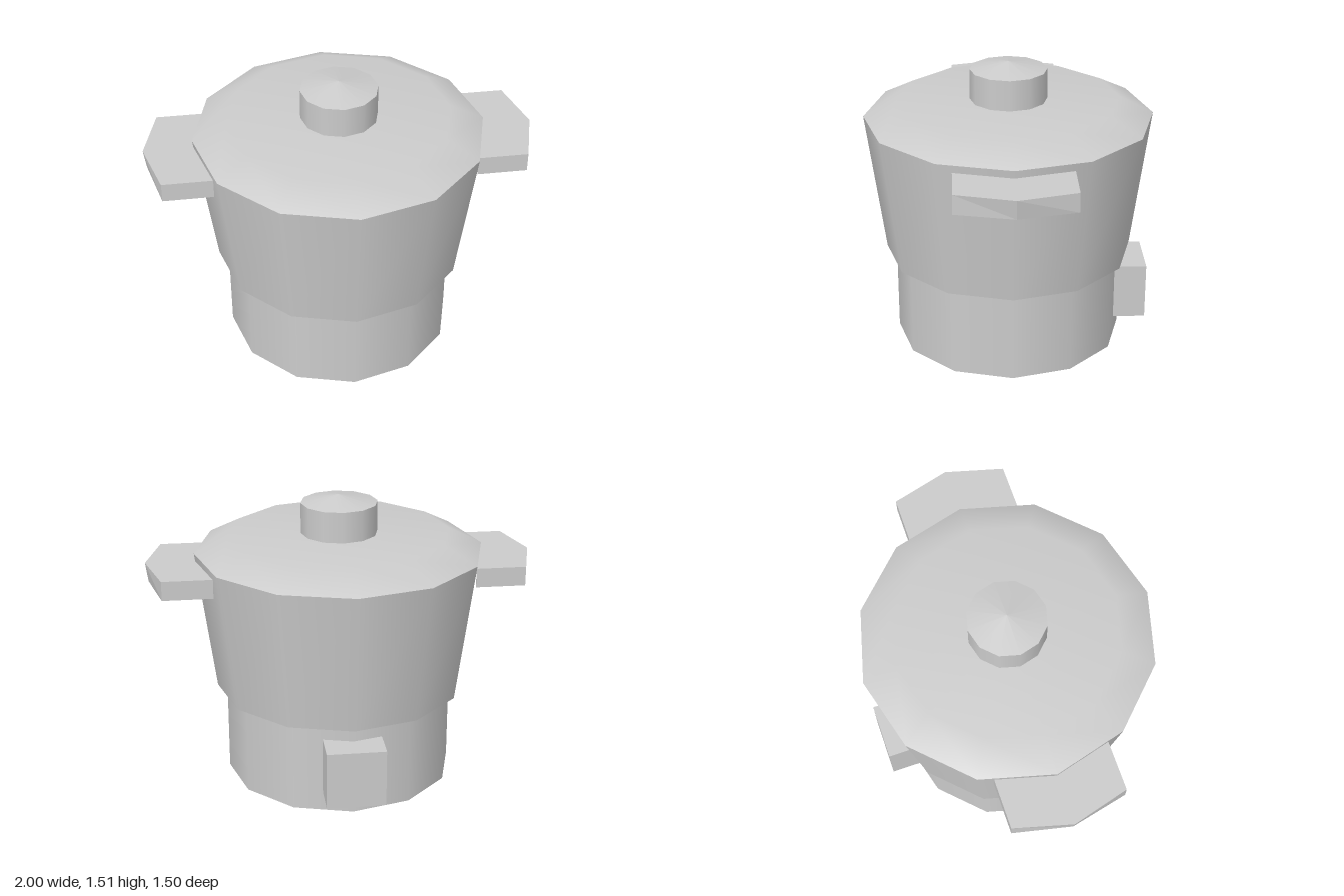
import * as THREE from 'three';

const SIDES = 12;
const material = new THREE.MeshStandardMaterial({ color: 0xcccccc, side: THREE.DoubleSide });

function add(parent, name, geometry, x = 0, y = 0, z = 0) {
  const mesh = new THREE.Mesh(geometry, material);
  mesh.name = name;
  mesh.position.set(x, y, z);
  parent.add(mesh);
  return mesh;
}

// Chevron-shaped grip that follows the twelve-sided wall; its middle leans in with the taper
function handleGeometry() {
  const shape = new THREE.Shape([
    [0.665, -0.295], [0.92, -0.295], [1, 0], [0.92, 0.295], [0.665, 0.295], [0.745, 0],
  ].map(([x, y]) => new THREE.Vector2(x, y)));
  const geometry = new THREE.ExtrudeGeometry(shape, { depth: 0.1, bevelEnabled: false });
  geometry.rotateX(-Math.PI / 2).translate(0, 1.08, 0);
  const p = geometry.attributes.position;
  for (let i = 0; i < p.count; i++) {
    if (p.getY(i) < 1.1 && Math.abs(p.getZ(i)) < 0.01) p.setX(i, p.getX(i) - 0.014);
  }
  geometry.computeVertexNormals();
  return geometry;
}

export function createModel() {
  const model = new THREE.Group();
  model.name = 'cookingPot';

  // Hollow base ring, open underneath
  add(model, 'base', new THREE.CylinderGeometry(0.6, 0.6, 0.48, SIDES, 1, true), 0, 0.24, 0);

  // Tapered pot wall and its floor
  add(model, 'potWall', new THREE.CylinderGeometry(0.75, 0.65, 0.74, SIDES, 1, true), 0, 0.85, 0);
  add(model, 'potFloor', new THREE.CircleGeometry(0.65, SIDES).rotateX(Math.PI / 2), 0, 0.48, 0);

  // Lid with a sloped rim and flat top
  const lidProfile = [[0.75, 1.22], [0.575, 1.31], [0, 1.31]].map(([r, y]) => new THREE.Vector2(r, y));
  add(model, 'lid', new THREE.LatheGeometry(lidProfile, SIDES));

  // Knob with a shallow pointed cap
  add(model, 'knob', new THREE.CylinderGeometry(0.2, 0.2, 0.16, SIDES, 1, true), 0, 1.39, 0);
  add(model, 'knobCap', new THREE.ConeGeometry(0.2, 0.04, SIDES, 1, true), 0, 1.49, 0);

  // Pair of side handles
  const handle = handleGeometry();
  add(model, 'leftHandle', handle);
  add(model, 'rightHandle', handle).rotation.y = Math.PI;

  // Power socket housing on the back of the base
  add(model, 'rearSocket', new THREE.BoxGeometry(0.3, 0.3, 0.17), 0, 0.25, -0.645);

  return model;
}
